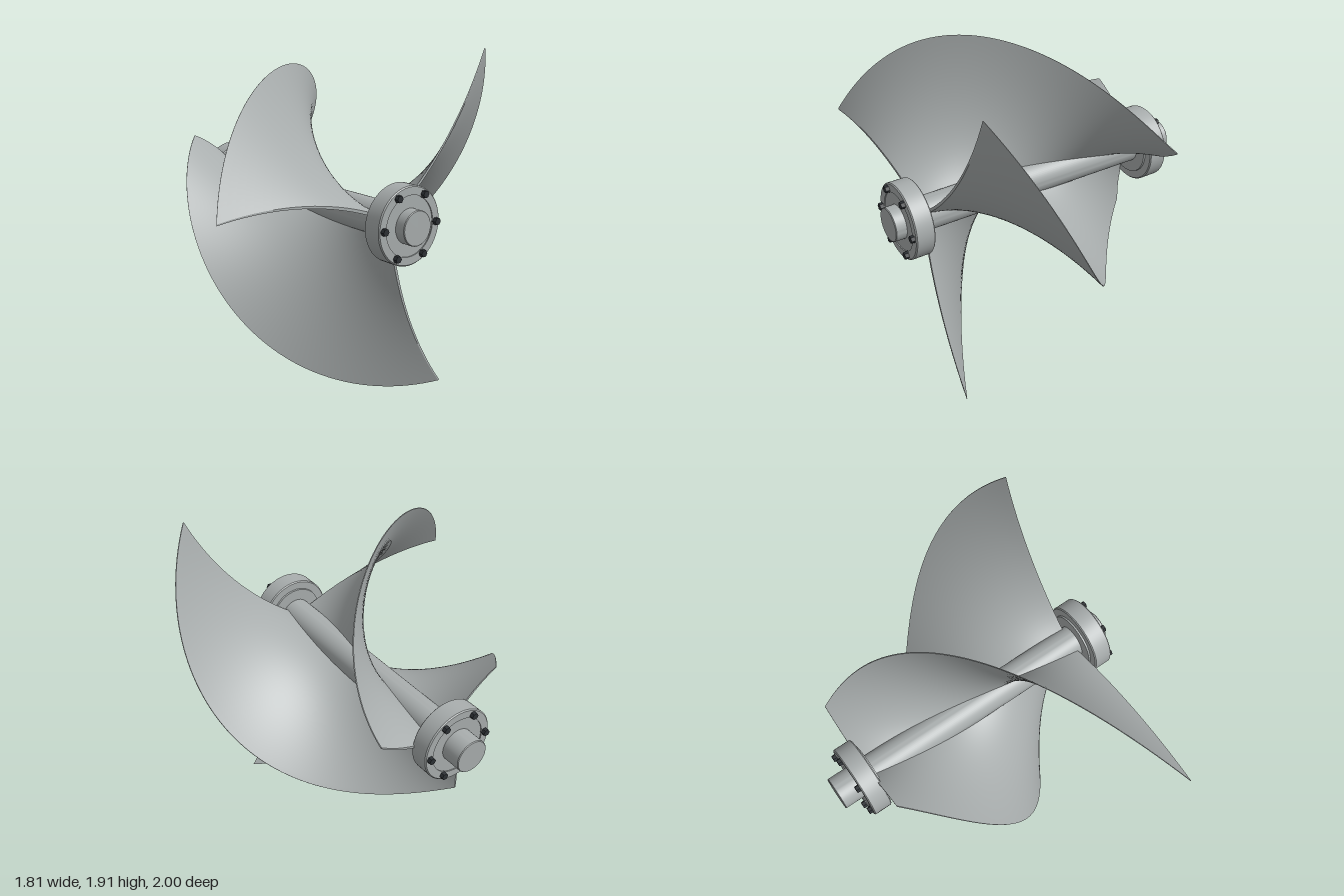
import * as THREE from 'three';
import { mergeGeometries, toCreasedNormals } from 'three/addons/utils/BufferGeometryUtils.js';

const steel = new THREE.MeshStandardMaterial({ color: 0xa8adad });
steel.name = 'steel grey';
const dark = new THREE.MeshStandardMaterial({ color: 0x2c3034 });
dark.name = 'dark bolt';

const X_END = 0.7, ROOT = 0.08;
const TWIST = 1.92;   // radians of spiral per unit of length
const SWEEP = 0.26;   // how far the root is ahead of the tip

// Smooth grid patch from a rule f(u, v) -> Vector3, facing Pu x Pv
function patch(f, nu, nv) {
  const pos = [], index = [];
  for (let i = 0; i <= nu; i++) {
    for (let j = 0; j <= nv; j++) pos.push(...f(i / nu, j / nv).toArray());
  }
  for (let i = 0; i < nu; i++) {
    for (let j = 0; j < nv; j++) {
      const a = i * (nv + 1) + j, b = a + nv + 1;
      index.push(a, b, b + 1, a, b + 1, a + 1);
    }
  }
  const g = new THREE.BufferGeometry();
  g.setAttribute('position', new THREE.Float32BufferAttribute(pos, 3));
  g.setIndex(index);
  g.computeVertexNormals();
  return g;
}

// Point on a blade: u along the shaft, t from root to tip, side -1..1 through the thickness
function bladePoint(u, t, side) {
  const x = -X_END + 2 * X_END * u;
  const tipRadius = 1.1 - 0.467 * (X_END - x);
  const r = ROOT + (tipRadius - ROOT) * t;
  const half = 0.004 + 0.005 * (1 - t);
  const lag = SWEEP * (1 - t);
  const a = TWIST * (X_END - x) + lag + side * half / r;
  return new THREE.Vector3(x, r * Math.sin(a), r * Math.cos(a));
}

// Closed spiral blade: two faces, outer rim and both end edges
function bladeGeometry() {
  return mergeGeometries([
    patch((u, v) => bladePoint(1 - u, v, 1), 72, 20),
    patch((u, v) => bladePoint(u, v, -1), 72, 20),
    patch((u, v) => bladePoint(u, 1, 2 * v - 1), 72, 1),
    patch((u, v) => bladePoint(1, v, 2 * u - 1), 1, 20),
    patch((u, v) => bladePoint(0, v, 1 - 2 * u), 1, 20),
  ]);
}

// Turned part along x from [radius, x] points
function turned(name, points) {
  const g = new THREE.LatheGeometry(points.map(([r, x]) => new THREE.Vector2(r, x)), 64);
  g.rotateZ(-Math.PI / 2);
  const mesh = new THREE.Mesh(toCreasedNormals(g, 0.5), steel);
  mesh.name = name;
  return mesh;
}

// Bearing flange, built with its outer face towards +x
function flange(name, x, facing) {
  const group = new THREE.Group();
  group.name = name;
  const h = 0.056, c = 0.006;
  group.add(turned('flangeRing', [
    [0.165, -h], [0.215 - c, -h], [0.215, -h + c], [0.215, h - c],
    [0.215 - c, h], [0.165, h], [0.165, -h],
  ]));
  group.add(turned('bearingDisc', [
    [0, -h - 0.01], [0.163, -h - 0.01], [0.165, -h], [0.165, h - 0.006], [0, h - 0.006],
  ]));
  const boltShape = new THREE.CylinderGeometry(0.02, 0.022, 0.03, 6).toNonIndexed();
  boltShape.computeVertexNormals();
  boltShape.rotateZ(-Math.PI / 2);
  for (let i = 0; i < 6; i++) {
    const a = i * Math.PI / 3;
    const bolt = new THREE.Mesh(boltShape, dark);
    bolt.name = 'bolt';
    bolt.position.set(h + 0.007, 0.184 * Math.sin(a), 0.184 * Math.cos(a));
    group.add(bolt);
  }
  group.position.x = x;
  if (facing < 0) group.rotation.y = Math.PI;
  return group;
}

export function createModel() {
  const model = new THREE.Group();
  model.name = 'spiralRotor';
  const rotor = new THREE.Group();
  rotor.name = 'rotor';
  rotor.position.set(0, 1.04, -0.085);
  model.add(rotor);

  // Central shaft with small end chamfers
  rotor.add(turned('shaft', [
    [0, -0.91], [0.092, -0.91], [0.096, -0.906], [0.096, 0.9], [0.092, 0.904], [0, 0.904],
  ]));

  // Three spiral blades
  const shape = bladeGeometry();
  for (let i = 0; i < 3; i++) {
    const blade = new THREE.Mesh(shape, steel);
    blade.name = 'blade' + (i + 1);
    blade.rotation.x = -(0.138 + i * 2 * Math.PI / 3);
    rotor.add(blade);
  }

  // End flanges
  rotor.add(flange('leftFlange', 0.791, 1));
  rotor.add(flange('rightFlange', -0.741, -1));
  return model;
}
